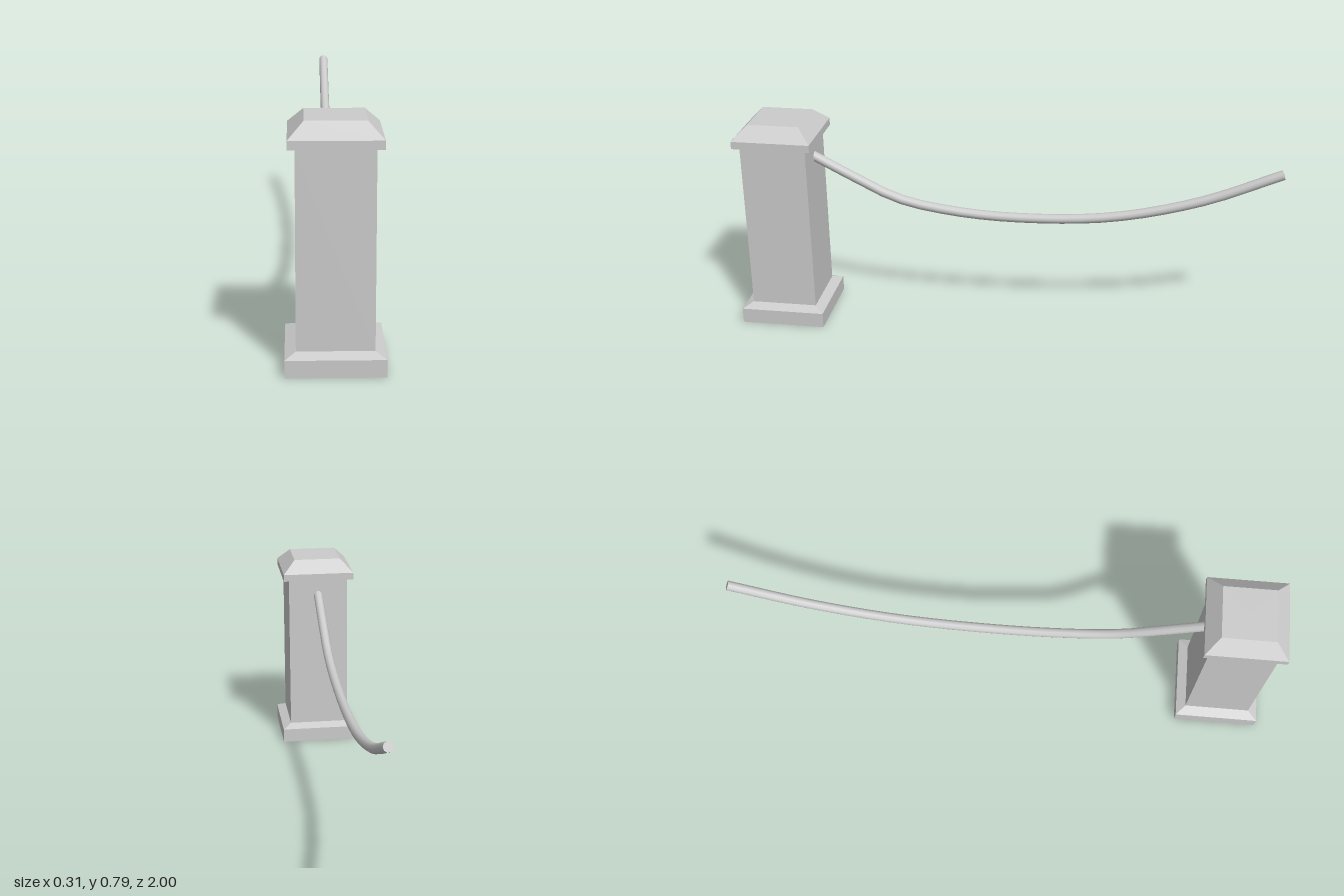
import * as THREE from 'three';

const POST_Z = 0.843;

// Square stack: profile of [half width, height] pairs, bottom to top
function squareLathe(name, profile, material) {
  const points = profile.map(([half, y]) => new THREE.Vector2(half * Math.SQRT2, y));
  const geometry = new THREE.LatheGeometry(points, 4);
  geometry.rotateY(Math.PI / 4);
  const mesh = new THREE.Mesh(geometry, material);
  mesh.name = name;
  return mesh;
}

export function createModel() {
  const model = new THREE.Group();
  model.name = 'ropeBarrierPost';
  const stone = new THREE.MeshStandardMaterial({ color: 0xcccccc, flatShading: true });
  const ropeMaterial = new THREE.MeshStandardMaterial({ color: 0xcccccc });

  // Post: plinth, shaft and chamfered cap
  const post = new THREE.Group();
  post.name = 'post';
  post.position.z = POST_Z;
  post.add(
    squareLathe('base', [[0, 0], [0.157, 0], [0.157, 0.057], [0.122, 0.073]], stone),
    squareLathe('shaft', [[0.122, 0.073], [0.122, 0.704]], stone),
    squareLathe('cap', [[0.122, 0.704], [0.145, 0.709], [0.145, 0.737], [0.095, 0.787], [0, 0.787]], stone)
  );
  model.add(post);

  // Sagging rope, from inside the back of the post to its free end
  const curve = new THREE.CatmullRomCurve3([
    [0.645, 0.735], [0.56, 0.57], [0.485, 0.41], [0.446, 0.2], [0.434, -0.05],
    [0.457, -0.38], [0.537, -0.7], [0.66, -0.99],
  ].map(([y, z]) => new THREE.Vector3(0, y, z)));
  const radius = 0.018;
  const rope = new THREE.Group();
  rope.name = 'rope';
  const strand = new THREE.Mesh(new THREE.TubeGeometry(curve, 24, radius, 10), ropeMaterial);
  strand.name = 'ropeStrand';
  rope.add(strand);

  // Closed rope ends
  for (const t of [0, 1]) {
    const end = new THREE.Mesh(new THREE.CircleGeometry(radius, 10), ropeMaterial);
    end.name = t ? 'ropeFreeEnd' : 'ropePostEnd';
    const outward = curve.getTangentAt(t).multiplyScalar(t ? 1 : -1);
    end.position.copy(curve.getPointAt(t));
    end.quaternion.setFromUnitVectors(new THREE.Vector3(0, 0, 1), outward);
    // keep the disc upright so its corners meet the tube
    end.lookAt(end.position.clone().add(outward));
    rope.add(end);
  }
  model.add(rope);
  return model;
}
